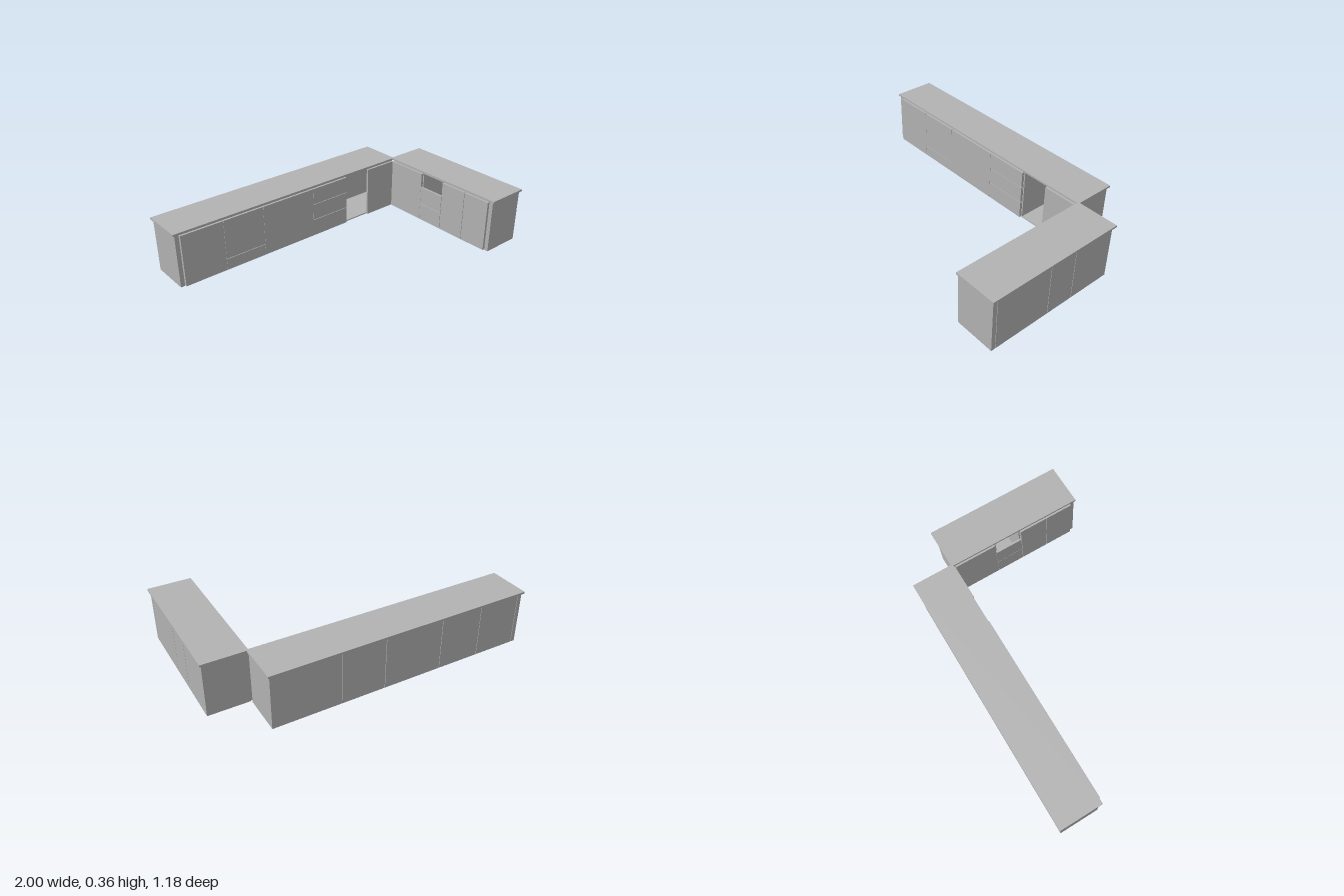
import * as THREE from 'three';

const BASE_TOP = 0.35, FRONT_TOP = 0.343, WALL = 0.008, GAP = 0.003;

export function createModel() {
  const grey = new THREE.MeshStandardMaterial({ color: 0xb2b2b2 });
  grey.name = 'cabinet grey';

  // Box given by its minimum and maximum corners
  function box(parent, name, [x0, y0, z0], [x1, y1, z1]) {
    const mesh = new THREE.Mesh(new THREE.BoxGeometry(x1 - x0, y1 - y0, z1 - z0), grey);
    mesh.name = name;
    mesh.position.set((x0 + x1) / 2, (y0 + y1) / 2, (z0 + z1) / 2);
    parent.add(mesh);
  }

  // Each run is built along local x from a to b, with its front at local z = 0
  // and its back at local z = -depth
  function carcass(run, a, b, depth, open) {
    const l = a + GAP / 2, r = b - GAP / 2;
    if (!open) {
      box(run, 'cabinetBody', [l, 0, -depth], [r, BASE_TOP, 0]);
      return;
    }
    box(run, 'cabinetSide', [l, 0, -depth], [l + WALL, BASE_TOP, 0]);
    box(run, 'cabinetSide', [r - WALL, 0, -depth], [r, BASE_TOP, 0]);
    box(run, 'cabinetBack', [l + WALL, 0, -depth], [r - WALL, BASE_TOP, -depth + WALL]);
    box(run, 'cabinetFloor', [l + WALL, 0, -depth + WALL], [r - WALL, WALL, 0]);
    box(run, 'cabinetCeiling', [l + WALL, FRONT_TOP, -depth + WALL], [r - WALL, BASE_TOP, 0]);
  }

  // Door or stacked drawer fronts; levels are the heights of the joints
  function fronts(run, a, b, levels, thick) {
    for (let i = 0; i < levels.length - 1; i++) {
      const bottom = levels[i] + (i ? GAP : 0.002);
      box(run, levels.length > 2 ? 'drawerFront' : 'door',
        [a + 0.0005, bottom, 0], [b - 0.0005, levels[i + 1], thick]);
    }
  }

  const model = new THREE.Group();
  model.name = 'cornerCabinets';

  // Long run along the back
  const longRun = new THREE.Group();
  longRun.name = 'longRun';
  longRun.position.z = -0.322;
  const door = [0, FRONT_TOP];
  for (const [a, b, open] of [
    [-0.99, -0.96], [-0.96, -0.675], [-0.675, -0.39], [-0.39, 0], [0, 0.288], [0.288, 0.722, true],
  ]) carcass(longRun, a, b, 0.26, open);
  for (const [a, b, levels] of [
    [-0.96, -0.675, door], [-0.675, -0.39, [0, 0.077, FRONT_TOP]], [-0.39, 0, door],
    [0, 0.286, [0, 0.117, 0.23, FRONT_TOP]], [0.48, 0.715, door],
  ]) fronts(longRun, a, b, levels, 0.014);
  box(longRun, 'longCountertop', [-1, BASE_TOP, -0.273], [0.732, 0.362, 0.007]);
  model.add(longRun);

  // Short run, turned so its front faces -x; local x becomes world z
  const shortRun = new THREE.Group();
  shortRun.name = 'shortRun';
  shortRun.position.x = 0.725;
  shortRun.rotation.y = -Math.PI / 2;
  for (const [a, b, open] of [
    [-0.31, -0.02], [-0.02, 0.168, true], [0.168, 0.55], [0.55, 0.58],
  ]) carcass(shortRun, a, b, 0.262, open);
  for (const [a, b, levels] of [
    [-0.305, -0.02, door], [-0.02, 0.168, [0, 0.12, 0.245]],
    [0.17, 0.359, door], [0.361, 0.55, door],
  ]) fronts(shortRun, a, b, levels, 0.014);
  box(shortRun, 'shortCountertop', [-0.328, BASE_TOP, -0.275], [0.59, 0.362, 0.005]);
  model.add(shortRun);

  return model;
}
